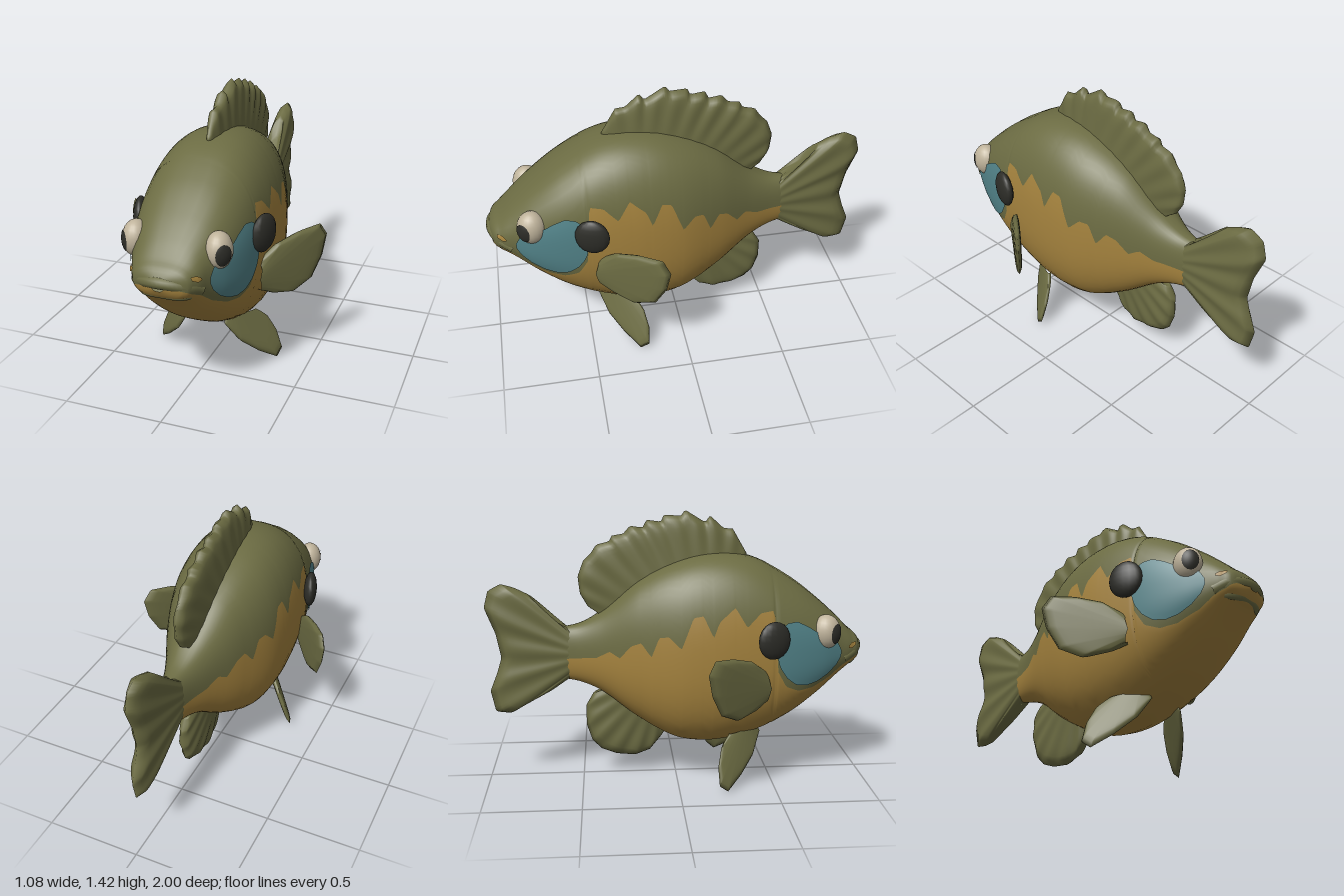
import * as THREE from 'three';
import { mergeVertices } from 'three/addons/utils/BufferGeometryUtils.js';

const material = (name, color) => Object.assign(new THREE.MeshStandardMaterial({ color }), { name });

// Surface from fn(u, v) -> [x, y, z]; faces run column by column along v
function grid(fn, nu, nv) {
  const pos = [], index = [];
  for (let j = 0; j <= nv; j++) for (let i = 0; i <= nu; i++) pos.push(...fn(i / nu, j / nv));
  for (let j = 0; j < nv; j++) for (let i = 0; i < nu; i++) {
    const a = j * (nu + 1) + i, b = a + 1, d = a + nu + 1, c = d + 1;
    index.push(a, c, b, a, d, c);
  }
  let geo = new THREE.BufferGeometry();
  geo.setAttribute('position', new THREE.Float32BufferAttribute(pos, 3));
  geo.setIndex(index);
  geo = mergeVertices(geo, 1e-5);
  geo.computeVertexNormals();
  return geo;
}

// Table of [z, values...] (z ascending) -> function of z
function table(rows, Interpolant) {
  const size = rows[0].length - 1;
  const it = new Interpolant(rows.map(r => r[0]), rows.flatMap(r => r.slice(1)), size, new Float32Array(size));
  return z => Array.from(it.evaluate(z));
}

// Body sections: z, top, bottom, half width
const section = table([
  [-0.62, 0.82, 0.55, 0.05], [-0.5, 0.845, 0.525, 0.085], [-0.4, 0.9, 0.48, 0.125],
  [-0.2, 1.07, 0.33, 0.22], [0, 1.17, 0.22, 0.292], [0.2, 1.21, 0.2, 0.315],
  [0.4, 1.185, 0.245, 0.308], [0.6, 1.08, 0.345, 0.282], [0.75, 0.965, 0.46, 0.238],
  [0.85, 0.875, 0.55, 0.19], [0.92, 0.805, 0.61, 0.155], [0.965, 0.765, 0.645, 0.11],
  [0.985, 0.73, 0.68, 0.03]], THREE.CubicInterpolant);

// Height of the scalloped edge between back and belly colours
const colourEdge = table([
  [-0.62, 0.66], [-0.42, 0.68], [-0.35, 0.72], [-0.3, 0.69], [-0.24, 0.76], [-0.19, 0.78],
  [-0.14, 0.71], [-0.1, 0.815], [-0.05, 0.82], [0.01, 0.76], [0.07, 0.92], [0.12, 0.93],
  [0.17, 0.82], [0.2, 0.9], [0.28, 0.97], [0.34, 0.87], [0.41, 0.94], [0.48, 0.95],
  [0.5, 0.64], [0.55, 0.55], [0.62, 0.52], [0.7, 0.53], [0.8, 0.58], [0.87, 0.635],
  [0.93, 0.665], [0.985, 0.7]], THREE.LinearInterpolant);

// Half width of a section at relative height t (-1..1)
const halfWidth = (w, t) => w * Math.pow(Math.max(0, 1 - Math.pow(Math.abs(t), 2.5)), 0.4);
function skinX(z, y) {
  const [top, bottom, w] = section(z);
  return halfWidth(w, (y - (top + bottom) / 2) / ((top - bottom) / 2));
}

function bodyGeometry() {
  const nu = 150, lower = 12, upper = 12, nv = 2 * (lower + upper);
  const geo = grid((u, v) => {
    const z = -0.62 + 1.605 * u;
    const [top, bottom, w] = section(z);
    const mid = (top + bottom) / 2, half = (top - bottom) / 2;
    const edge = Math.asin(THREE.MathUtils.clamp((colourEdge(z)[0] - mid) / half, -0.95, 0.95));
    const k = Math.round(v * nv), side = k <= nv / 2 ? 1 : -1;
    const m = side > 0 ? k : nv - k;
    const phi = m <= lower
      ? THREE.MathUtils.lerp(-Math.PI / 2, edge, m / lower)
      : THREE.MathUtils.lerp(edge, Math.PI / 2, (m - lower) / upper);
    const t = Math.sin(phi);
    return [side * halfWidth(w, t), mid + half * t, z];
  }, nu, nv);
  const column = nu * 6;
  geo.addGroup(0, lower * column, 0);
  geo.addGroup(lower * column, 2 * upper * column, 1);
  geo.addGroup((lower + 2 * upper) * column, lower * column, 0);
  return geo;
}

// Polyline of [z, y] points
function polyline(points) {
  const path = new THREE.CurvePath();
  for (let i = 1; i < points.length; i++)
    path.add(new THREE.LineCurve(new THREE.Vector2(...points[i - 1]), new THREE.Vector2(...points[i])));
  return path;
}

// Thick ribbed fin between a base line and a tip line; offset(z, y) leans it sideways
function fin(base, tip, half, ribs, offset = () => 0) {
  const a = polyline(base), b = polyline(tip);
  return grid((u, v) => {
    const s = 1 - Math.abs(2 * v - 1), side = v < 0.5 ? -1 : 1;
    const p = a.getPointAt(u).lerp(b.getPointAt(u), s);
    const ends = Math.pow(Math.max(0, Math.sin(Math.PI * u)), 0.35);
    const rib = 1 - 0.14 * s * (1 - Math.cos(2 * Math.PI * ribs * u));
    const thick = half * ends * rib * (1 - 0.3 * s) * Math.sqrt(Math.max(0, 1 - Math.pow(s, 8)));
    return [offset(p.x, p.y) + side * thick, p.y, p.x];
  }, 96, 24);
}

// Thin painted plate hugging the body: rows of z, low y, high y
function patch(rows, side) {
  const span = table(rows, THREE.LinearInterpolant), z0 = rows[0][0], z1 = rows[rows.length - 1][0];
  return grid((u, v) => {
    const z = z0 + (z1 - z0) * u, [low, high] = span(z);
    const y = THREE.MathUtils.lerp(low, high, side > 0 ? v : 1 - v);
    return [side * (skinX(z, y) + 0.008), y, z];
  }, 32, 12);
}

// Lip tube mirrored about the middle; points run from corner to centre
function lip(points, radius) {
  const all = [...points, ...points.slice(0, -1).reverse().map(([x, y, z]) => [-x, y, z])];
  const curve = new THREE.CatmullRomCurve3(all.map(p => new THREE.Vector3(...p)));
  return new THREE.TubeGeometry(curve, 24, radius, 10);
}

export function createModel() {
  const model = new THREE.Group();
  model.name = 'fish';
  const olive = material('olive back', 0x6c6c43);
  const ochre = material('ochre belly', 0xa5833e);
  const teal = material('teal cheek', 0x528389);
  const ivory = material('ivory eye', 0xbfb39b);
  const dark = material('dark spot', 0x2d2d28);
  const add = (name, geo, mat, parent = model) => {
    const mesh = new THREE.Mesh(geo, mat);
    mesh.name = name;
    parent.add(mesh);
    return mesh;
  };

  add('body', bodyGeometry(), [ochre, olive]);

  // Fins on the centre line
  add('dorsalFin', fin(
    [[0.36, 1.15], [0.2, 1.17], [0, 1.13], [-0.2, 1.03], [-0.38, 0.86]],
    [[0.375, 1.2], [0.3, 1.33], [0.25, 1.335], [0.18, 1.4], [0.155, 1.365], [0.05, 1.43], [0.03, 1.4],
      [-0.06, 1.405], [-0.075, 1.37], [-0.15, 1.38], [-0.17, 1.34], [-0.235, 1.35], [-0.27, 1.31],
      [-0.33, 1.3], [-0.345, 1.27], [-0.41, 1.255], [-0.44, 1.21], [-0.48, 1.17], [-0.51, 1.09],
      [-0.5, 1], [-0.46, 0.93], [-0.41, 0.9]], 0.058, 11), olive);
  add('tailFin', fin(
    [[-0.52, 0.8], [-0.52, 0.57]],
    [[-0.595, 0.83], [-0.69, 0.9], [-0.77, 1], [-0.84, 1.035], [-0.91, 1.055], [-0.976, 1.02], [-1, 0.93],
      [-0.945, 0.79], [-0.92, 0.66], [-0.945, 0.58], [-0.985, 0.48], [-0.96, 0.365], [-0.88, 0.355],
      [-0.77, 0.42], [-0.675, 0.47], [-0.595, 0.535]], 0.068, 8), olive);
  add('analFin', fin(
    [[-0.36, 0.52], [-0.22, 0.39], [-0.05, 0.28]],
    [[-0.37, 0.475], [-0.44, 0.46], [-0.48, 0.39], [-0.48, 0.28], [-0.45, 0.19], [-0.4, 0.14],
      [-0.32, 0.11], [-0.22, 0.1], [-0.14, 0.13], [-0.075, 0.21], [-0.05, 0.25]], 0.055, 7), olive);

  // Mouth
  add('upperLip', lip([[-0.155, 0.665, 0.86], [-0.11, 0.7, 0.93], [0, 0.715, 0.965]], 0.032), olive);
  add('lowerLip', lip([[-0.14, 0.645, 0.87], [-0.09, 0.645, 0.925], [0, 0.65, 0.942]], 0.022), olive);

  for (const side of [1, -1]) {
    const label = side > 0 ? 'left' : 'right';

    // Paired fins
    add(label + 'PectoralFin', fin(
      [[0.45, 0.62], [0.47, 0.55], [0.45, 0.48]],
      [[0.45, 0.63], [0.355, 0.71], [0.25, 0.745], [0.155, 0.755], [0.12, 0.69], [0.14, 0.58],
        [0.19, 0.47], [0.28, 0.42], [0.38, 0.445], [0.45, 0.49]],
      0.032, 0, z => side * (0.28 + (0.46 - z) * 0.76)), olive);
    add(label + 'PelvicFin', fin(
      [[0.27, 0.28], [0.36, 0.29], [0.43, 0.29]],
      [[0.25, 0.26], [0.22, 0.22], [0.2, 0.13], [0.205, 0.04], [0.25, 0.005], [0.33, 0.07],
        [0.4, 0.15], [0.445, 0.26]],
      0.025, 0, (z, y) => side * (0.16 + (0.42 - z) * 0.6 + (0.17 - y) * 0.4)), olive);

    // Cheek and mouth corner paint
    add(label + 'Cheek', patch([
      [0.495, 0.72, 0.8], [0.51, 0.66, 0.86], [0.55, 0.6, 0.885], [0.6, 0.56, 0.89], [0.66, 0.55, 0.86],
      [0.72, 0.565, 0.82], [0.78, 0.6, 0.79], [0.83, 0.65, 0.76], [0.85, 0.69, 0.72]], side), teal);
    add(label + 'MouthCorner', patch([[0.895, 0.725, 0.735], [0.915, 0.72, 0.75], [0.94, 0.735, 0.75]], side), ochre);

    // Gill flap
    const flap = add(label + 'GillFlap', new THREE.SphereGeometry(1, 16, 10), dark);
    flap.scale.set(0.036, 0.097, 0.088);
    flap.position.set(side * 0.322, 0.805, 0.475);
    flap.rotation.y = -0.3 * side;

    // Eye with a pupil facing forward and outward
    const eye = new THREE.Group();
    eye.name = label + 'Eye';
    eye.position.set(side * 0.205, 0.82, 0.763);
    eye.scale.set(0.066, 0.09, 0.075);
    add('eyeball', new THREE.SphereGeometry(1, 20, 14), ivory, eye);
    const pupil = add('pupil', new THREE.SphereGeometry(1.04, 16, 5, 0, Math.PI * 2, 0, 0.6), dark, eye);
    pupil.quaternion.setFromUnitVectors(new THREE.Vector3(0, 1, 0), new THREE.Vector3(side * 0.7, -0.05, 0.7).normalize());
    model.add(eye);
  }
  return model;
}
